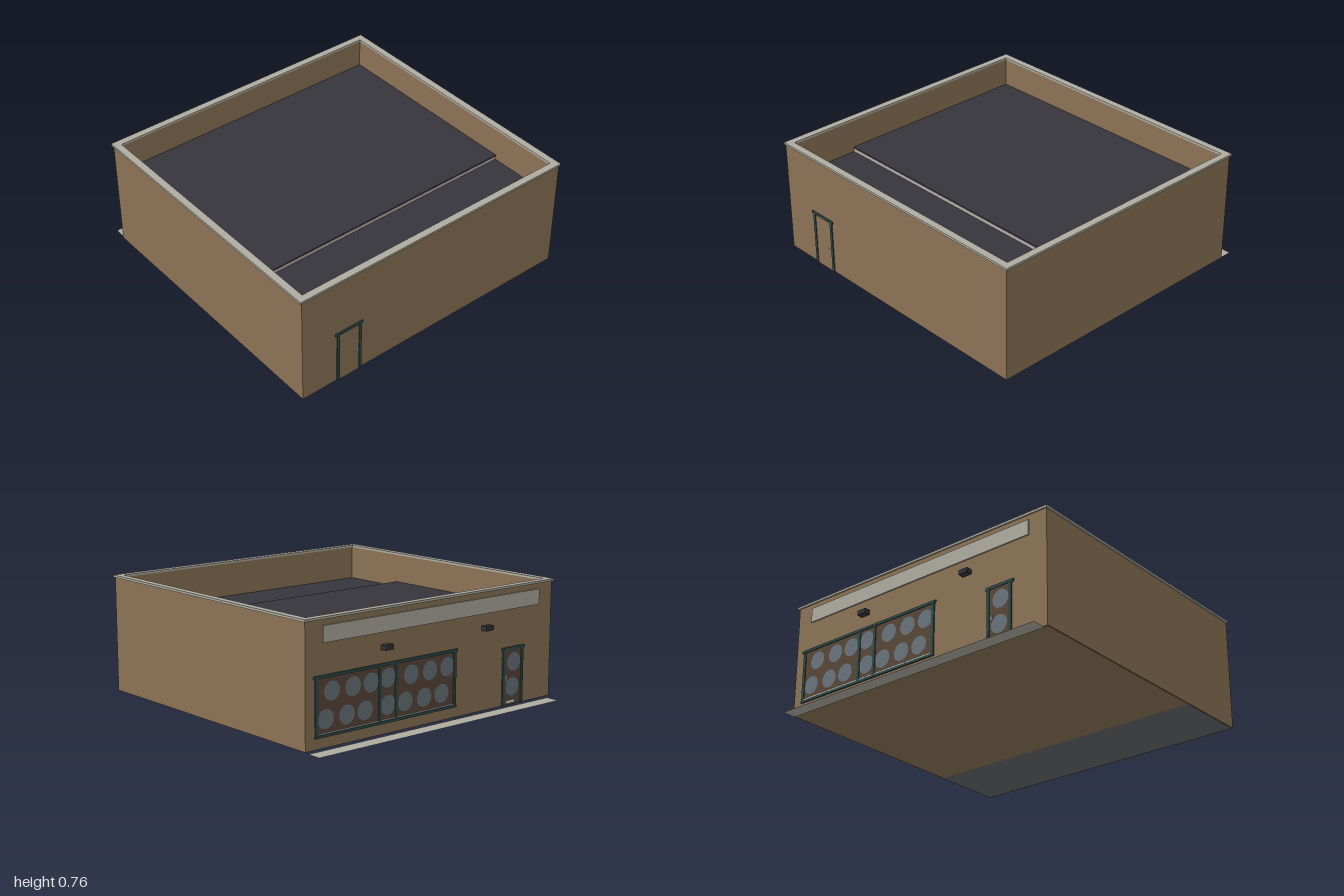
import * as THREE from 'three';

const mat = (name, color, side = THREE.FrontSide) => {
  const m = new THREE.MeshStandardMaterial({ color, side });
  m.name = name;
  return m;
};

export function createModel() {
  const wall = mat('tan wall', 0x8b7355);
  const concrete = mat('pale concrete', 0xaeaba0, THREE.DoubleSide);
  const roofing = mat('dark roofing', 0x37353c);
  const slab = mat('grey slab', 0x646668);
  const trim = mat('teal trim', 0x2f4a4a);
  const glass = mat('dark glass', 0x584638);
  const reflection = mat('glass reflection', 0x68737a);
  const metal = mat('light metal', 0xd0d0cc);
  const lampBlack = mat('lamp housing', 0x333238);

  const model = new THREE.Group();
  // Box given by its lower and upper limits on each axis
  const box = (name, material, x0, x1, y0, y1, z0, z1, parent = model) => {
    const mesh = new THREE.Mesh(new THREE.BoxGeometry(x1 - x0, y1 - y0, z1 - z0), material);
    mesh.position.set((x0 + x1) / 2, (y0 + y1) / 2, (z0 + z1) / 2);
    mesh.name = name;
    parent.add(mesh);
    return mesh;
  };
  // Rectangular ring lying flat, used for walls and coping
  const ring = (name, material, x, zBack, zFront, thick, y0, y1) => {
    const rect = (P, inset) => {
      const p = new P();
      p.moveTo(-x + inset, -zFront + inset);
      p.lineTo(x - inset, -zFront + inset);
      p.lineTo(x - inset, -zBack - inset);
      p.lineTo(-x + inset, -zBack - inset);
      p.closePath();
      return p;
    };
    const shape = rect(THREE.Shape, 0);
    shape.holes.push(rect(THREE.Path, thick));
    const mesh = new THREE.Mesh(
      new THREE.ExtrudeGeometry(shape, { depth: y1 - y0, bevelEnabled: false }), material);
    mesh.rotation.x = -Math.PI / 2;
    mesh.position.y = y0;
    mesh.name = name;
    model.add(mesh);
  };

  // Shell, floors and roofs
  ring('outerWalls', wall, 0.99, -0.89, 0.98, 0.035, 0.012, 0.745);
  ring('coping', concrete, 1, -0.9, 0.985, 0.046, 0.743, 0.757);
  box('mainFloor', wall, -0.985, 0.985, 0.01, 0.02, -0.885, 0.485);
  box('rearRoomFloor', slab, -0.985, 0.985, 0.01, 0.02, 0.485, 0.975);
  box('mainRoof', roofing, -0.956, 0.956, 0.547, 0.558, -0.856, 0.485);
  box('lowerRoof', roofing, -0.956, 0.956, 0.515, 0.525, 0.47, 0.946);
  box('roofStep', concrete, -0.955, 0.955, 0.525, 0.548, 0.47, 0.484);

  // Pavement
  const pavement = new THREE.Mesh(new THREE.PlaneGeometry(1.95, 0.095), concrete);
  pavement.rotation.x = -Math.PI / 2;
  pavement.position.set(0, 0, -0.9425);
  pavement.name = 'pavement';
  model.add(pavement);

  // Sign board and wall lamps
  box('signBoard', concrete, -0.868, 0.868, 0.612, 0.708, -0.902, -0.893);
  for (const x of [-0.408, 0.402]) {
    box('wallLamp', lampBlack, x - 0.032, x + 0.032, 0.51, 0.54, -0.93, -0.89);
  }

  // Glass pane on the shop side with rounded reflections
  const pane = (parent, x0, x1, y0, y1, spots) => {
    box('glassPane', glass, x0, x1, y0, y1, -0.893, -0.888, parent);
    for (const [x, y] of spots) {
      const spot = new THREE.Mesh(new THREE.CircleGeometry(0.058, 20), reflection);
      spot.rotation.y = Math.PI;
      spot.position.set(x, y, -0.8938);
      spot.name = 'reflection';
      parent.add(spot);
    }
  };
  const staggered = (xs) => xs.flatMap((x) => [[x, 0.333], [x + 0.045, 0.178]]);

  // Shop window: two wide panes and a narrow one between
  const shopWindow = new THREE.Group();
  shopWindow.name = 'shopWindow';
  model.add(shopWindow);
  pane(shopWindow, 0.45, 0.91, 0.09, 0.415, staggered([0.8, 0.645, 0.51]));
  pane(shopWindow, 0.32, 0.44, 0.09, 0.415, [[0.38, 0.34], [0.38, 0.18]]);
  pane(shopWindow, -0.15, 0.31, 0.09, 0.415, staggered([0.2, 0.05, -0.09]));
  for (const x of [0.912, 0.443, 0.316, -0.152]) {
    box('windowPost', trim, x - 0.01, x + 0.01, 0.08, 0.42, -0.898, -0.889, shopWindow);
  }
  box('windowHead', trim, -0.172, 0.932, 0.413, 0.43, -0.9, -0.889, shopWindow);
  box('windowSill', trim, -0.165, 0.925, 0.076, 0.092, -0.9, -0.889, shopWindow);
  box('sillStrip', metal, -0.14, 0.9, 0.094, 0.098, -0.897, -0.889, shopWindow);

  // Door frame standing out from z0 to z1
  const doorFrame = (parent, z0, z1) => {
    for (const x of [-0.742, -0.58]) {
      box('doorPost', trim, x, x + 0.018, 0.012, 0.362, z0, z1, parent);
    }
    box('doorHead', trim, -0.755, -0.553, 0.358, 0.376, z0, z1, parent);
  };

  // Glazed shop door
  const shopDoor = new THREE.Group();
  shopDoor.name = 'shopDoor';
  model.add(shopDoor);
  pane(shopDoor, -0.724, -0.58, 0.012, 0.358, [[-0.66, 0.28], [-0.65, 0.125]]);
  doorFrame(shopDoor, -0.898, -0.889);
  box('kickPlate', metal, -0.67, -0.6, 0.025, 0.04, -0.896, -0.889, shopDoor);
  box('doorHandle', metal, -0.6, -0.592, 0.16, 0.2, -0.9, -0.889, shopDoor);

  // Solid service door
  const serviceDoor = new THREE.Group();
  serviceDoor.name = 'serviceDoor';
  model.add(serviceDoor);
  box('doorPanel', wall, -0.724, -0.58, 0.008, 0.358, 0.978, 0.982, serviceDoor);
  doorFrame(serviceDoor, 0.979, 0.987);
  box('lockPlate', metal, -0.592, -0.584, 0.155, 0.178, 0.98, 0.985, serviceDoor);
  box('doorHandle', metal, -0.602, -0.586, 0.162, 0.168, 0.984, 0.988, serviceDoor);

  return model;
}
